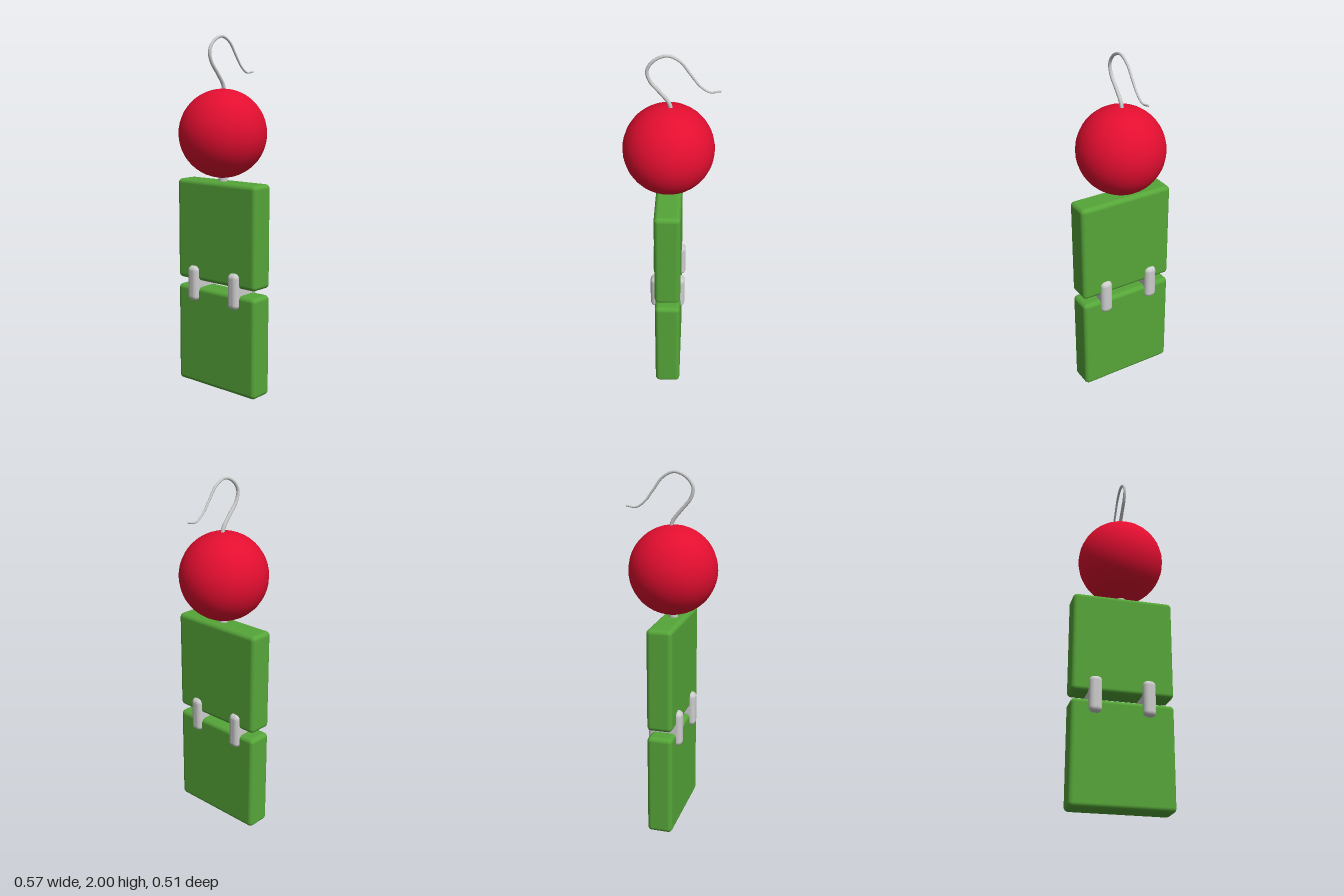
import * as THREE from 'three';
import { RoundedBoxGeometry } from 'three/addons/geometries/RoundedBoxGeometry.js';

const material = (name, color) => {
  const m = new THREE.MeshStandardMaterial({ color });
  m.name = name;
  return m;
};

export function createModel() {
  const model = new THREE.Group();
  model.name = 'hangingOrnament';
  const red = material('red', 0xe30e30);
  const green = material('green', 0x56a639);
  const silver = material('silver', 0xcccccc);
  const midZ = 0.008;

  const add = (name, geometry, mat, x = 0, y = 0, z = midZ) => {
    const mesh = new THREE.Mesh(geometry, mat);
    mesh.name = name;
    mesh.position.set(x, y, z);
    model.add(mesh);
    return mesh;
  };

  // Two hinged blocks
  const block = new RoundedBoxGeometry(0.57, 0.58, 0.143, 4, 0.025);
  add('lowerBlock', block, green, 0, 0.29);
  add('upperBlock', block, green, 0, 0.91);

  // Clips joining the blocks, passing through the gap
  const clip = new RoundedBoxGeometry(0.072, 0.205, 0.195, 4, 0.028);
  add('rightClip', clip, silver, -0.155, 0.603, 0.011);
  add('leftClip', clip, silver, 0.142, 0.603, 0.011);

  // Short neck and ball
  add('neck', new THREE.CylinderGeometry(0.025, 0.025, 0.1, 16), silver, 0.003, 1.21, 0.01);
  add('ball', new THREE.SphereGeometry(0.245, 32, 24), red, 0, 1.465, 0.009);

  // Wire hook: a tube along a bent path, thinned towards its free end
  const path = new THREE.CatmullRomCurve3([
    [-0.005, 1.69], [0.008, 1.735], [0.055, 1.795], [0.103, 1.853], [0.117, 1.91], [0.083, 1.963],
    [0.015, 1.99], [-0.05, 1.96], [-0.1, 1.895], [-0.15, 1.83], [-0.2, 1.797], [-0.253, 1.803],
  ].map(([z, y]) => new THREE.Vector3(0, y, z)));
  const steps = 64, sides = 10, startRadius = 0.011, endRadius = 0.005;
  const wire = new THREE.TubeGeometry(path, steps, startRadius, sides);
  const pos = wire.attributes.position;
  const v = new THREE.Vector3();
  for (let i = 0; i <= steps; i++) {
    const centre = path.getPointAt(i / steps);
    const scale = THREE.MathUtils.lerp(startRadius, endRadius, i / steps) / startRadius;
    for (let j = 0; j <= sides; j++) {
      const k = i * (sides + 1) + j;
      v.fromBufferAttribute(pos, k).sub(centre).multiplyScalar(scale).add(centre);
      pos.setXYZ(k, v.x, v.y, v.z);
    }
  }
  add('hook', wire, silver, 0, 0, 0);
  const tip = path.getPointAt(1);
  add('hookTip', new THREE.SphereGeometry(endRadius, 10, 8), silver, tip.x, tip.y, tip.z);

  return model;
}
